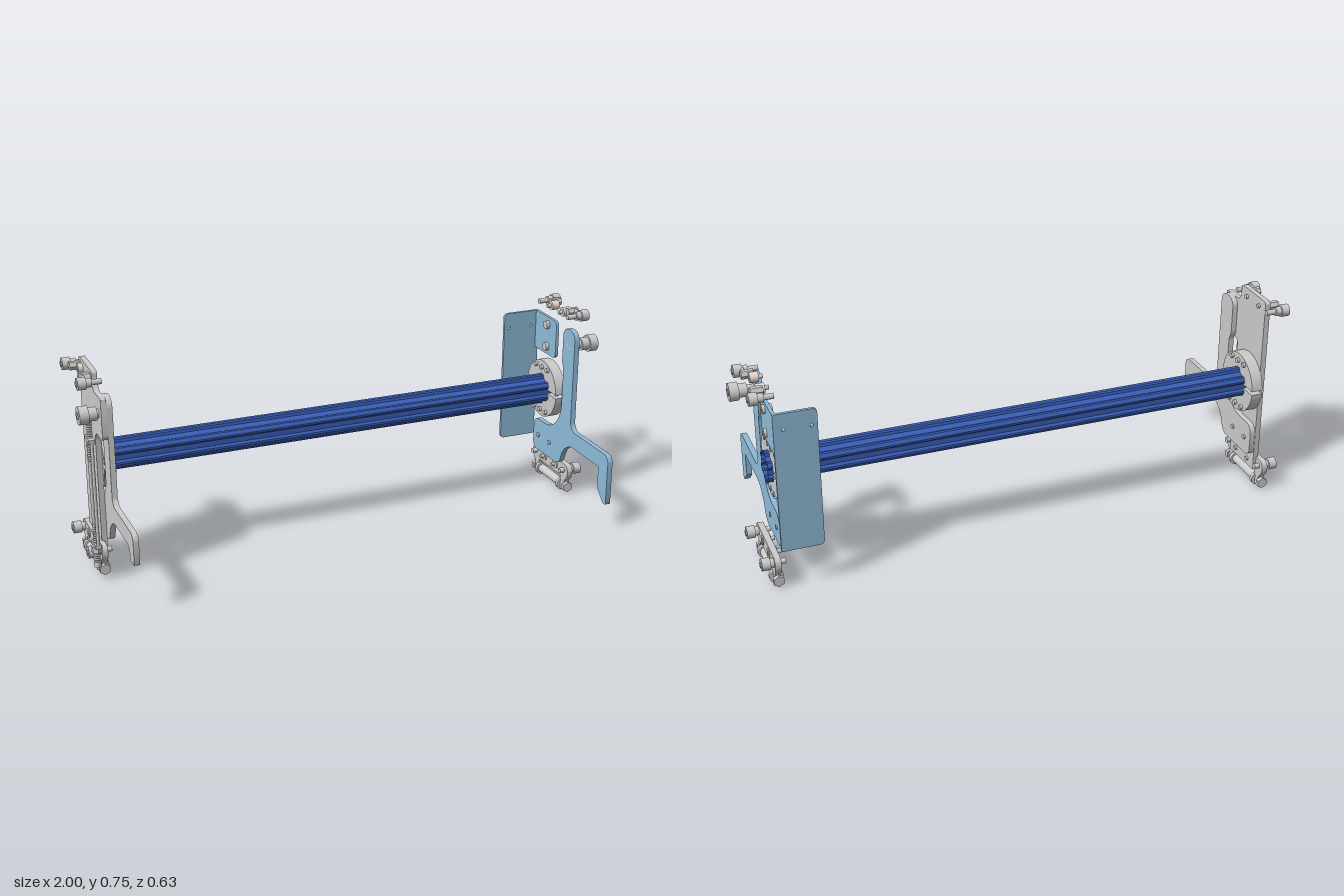
import * as THREE from 'three';
import { toCreasedNormals } from 'three/addons/utils/BufferGeometryUtils.js';

const GREY = 0xcccccc, LIGHT_BLUE = 0x8fbbd9, DEEP_BLUE = 0x3a5fb8, COPPER = 0xeadace;
const CY = 0.41, CZ = -0.162; // beam axis

export function createModel() {
  const model = new THREE.Group();
  const materials = {};
  const mat = (c) => (materials[c] ??= new THREE.MeshStandardMaterial({ color: c }));

  function add(parent, name, geo, color = GREY) {
    const mesh = new THREE.Mesh(geo, mat(color));
    mesh.name = name;
    parent.add(mesh);
    return mesh;
  }

  // Closed outline from [z, y, cornerRadius] points; shape u is -z
  function outline(points) {
    const shape = new THREE.Shape();
    const n = points.length;
    const P = points.map(([z, y]) => new THREE.Vector2(-z, y));
    points.forEach(([, , r = 0], i) => {
      const p = P[i], a = P[(i + n - 1) % n], b = P[(i + 1) % n];
      const from = p.clone().add(a.clone().sub(p).setLength(r));
      const to = p.clone().add(b.clone().sub(p).setLength(r));
      if (i === 0) shape.moveTo(from.x, from.y);
      else shape.lineTo(from.x, from.y);
      if (r > 0) {
        const c1 = from.clone().lerp(p, 0.552), c2 = to.clone().lerp(p, 0.552);
        shape.bezierCurveTo(c1.x, c1.y, c2.x, c2.y, to.x, to.y);
      }
    });
    shape.closePath();
    return shape;
  }

  // Extrude a z-y outline between two x positions
  function slab(parent, name, shape, xa, xb, color) {
    const geo = new THREE.ExtrudeGeometry(shape, { depth: Math.abs(xb - xa), bevelEnabled: false, curveSegments: 10 });
    geo.rotateY(Math.PI / 2).translate(Math.min(xa, xb), 0, 0);
    return add(parent, name, toCreasedNormals(geo, 0.5), color);
  }

  // Cylinder lying along 'x', 'y' or 'z' from a to b; p, q are the other two coordinates
  function rod(parent, name, axis, a, b, p, q, r, color, sides = 24) {
    const geo = new THREE.CylinderGeometry(r, r, Math.abs(b - a), sides);
    const m = (a + b) / 2;
    if (axis === 'x') geo.rotateZ(Math.PI / 2).translate(m, p, q);
    if (axis === 'y') geo.translate(p, m, q);
    if (axis === 'z') geo.rotateX(Math.PI / 2).translate(p, q, m);
    return add(parent, name, sides < 8 ? toCreasedNormals(geo, 0.5) : geo, color);
  }

  // Six-lobed beam section
  function star(scale = 1) {
    const pts = [];
    for (let k = 0; k < 6; k++)
      for (const [d, r] of [[-18, 0.047], [-13, 0.057], [-7, 0.06], [7, 0.06], [13, 0.057], [18, 0.047]]) {
        const t = THREE.MathUtils.degToRad(30 + 60 * k + d);
        pts.push(new THREE.Vector2(-CZ + Math.cos(t) * r * scale, CY + Math.sin(t) * r * scale));
      }
    return pts;
  }
  const beam = new THREE.Shape(star());
  beam.holes.push(new THREE.Path(star(0.92)));
  slab(model, 'beam', beam, -0.925, 0.925, DEEP_BLUE);

  // Half of the clamp ring, dir = 1 for upper and -1 for lower
  function clampHalf(dir) {
    const pts = [], R = 0.113, a = 0.06;
    for (let i = 0; i <= 36; i++) {
      const t = a + ((Math.PI - 2 * a) * i) / 36;
      pts.push(new THREE.Vector2(-CZ + Math.cos(t) * R, CY + dir * Math.sin(t) * R));
    }
    pts.push(new THREE.Vector2(-CZ - 0.048, CY + dir * 0.007));
    for (const p of star().slice(0, 18).reverse())
      pts.push(new THREE.Vector2(p.x, CY + dir * (p.y - CY)));
    pts.push(new THREE.Vector2(-CZ + 0.048, CY + dir * 0.007));
    return new THREE.Shape(pts);
  }

  // Hooked arm; the tip differs between the two ends
  function hookOutline(tip) {
    return outline([
      [0.035, 0.693, 0.035], [-0.052, 0.693, 0.035], [-0.052, 0.55, 0.012], [-0.04, 0.53, 0.01],
      [-0.04, 0.258, 0.125], [-0.248, 0.258, 0.033], [-0.248, 0.13, 0.03], [-0.04, 0.13, 0.03],
      [0.0, 0.237, 0.062], ...tip, [0.035, 0.301, 0.035],
    ]);
  }
  const longTip = [[0.253, 0.237], [0.253, 0.152], [0.299, 0.107, 0.006], [0.318, 0.107, 0.006], [0.318, 0.301, 0.03]];
  const shortTip = [[0.242, 0.237, 0.032], [0.242, 0.187], [0.292, 0.187, 0.006], [0.292, 0.301, 0.03]];

  // Rubber-edged knob on a threaded stud
  function knob(parent, s, y, z) {
    const g = new THREE.Group();
    g.name = 'knob';
    parent.add(g);
    rod(g, 'knobStud', 'x', s * 0.9, s * 0.95, y, z, 0.01);
    rod(g, 'knobCollar', 'x', s * 0.935, s * 0.955, y, z, 0.016);
    rod(g, 'knobHead', 'x', s * 0.955, s * 0.985, y, z, 0.022);
    rod(g, 'knobSocket', 'x', s * 0.985, s * 0.989, y, z, 0.011, GREY, 6);
  }

  const boltZ = [-0.118, -0.162, -0.206];
  for (const s of [-1, 1]) {
    const end = new THREE.Group();
    end.name = s > 0 ? 'leftEnd' : 'rightEnd';
    model.add(end);

    // Hook arm and its bolts
    slab(end, 'hookArm', hookOutline(s > 0 ? longTip : shortTip), s * 0.888, s * 0.908, s > 0 ? LIGHT_BLUE : GREY);
    for (const z of [boltZ[0], boltZ[2]]) rod(end, 'armBolt', 'x', s * 0.882, s * 0.912, 0.193, z, 0.009);

    // Split clamp ring
    for (const dir of [1, -1]) {
      slab(end, 'clampHalf', clampHalf(dir), s * 0.866, s * 0.908);
      for (const z of boltZ) rod(end, 'clampBolt', 'x', s * 0.856, s * 0.912, CY + dir * 0.087, z, 0.009);
    }
    for (const d of [-0.08, 0.08]) rod(end, 'clampScrew', 'y', CY - 0.012, CY + 0.012, s * 0.887, CZ + d, 0.008);

    // Large pivot bolt
    rod(end, 'pivotShaft', 'x', s * 0.888, s * 0.945, 0.63, -0.008, 0.016);
    rod(end, 'pivotCollar', 'x', s * 0.935, s * 0.965, 0.63, -0.008, 0.024);
    rod(end, 'pivotHead', 'x', s * 0.965, s * 0.998, 0.63, -0.008, 0.032, GREY, 32);
    rod(end, 'pivotSocket', 'x', s * 0.998, s * 1.0, 0.63, -0.008, 0.014, GREY, 6);

    // Knobs and washers, top and bottom
    for (const y of [0.727, 0.097]) {
      for (const z of [-0.052, -0.272]) knob(end, s, y, z);
      for (const z of [boltZ[0], boltZ[2]]) {
        rod(end, 'washer', 'x', s * 0.915, s * 0.945, y, z, 0.018, COPPER);
        rod(end, 'washerBolt', 'x', s * 0.9, s * 0.947, y, z, 0.008);
      }
    }
    // Small link screws between the top knobs
    for (const z of [-0.097, -0.228]) rod(end, 'linkNut', 'x', s * 0.925, s * 0.968, 0.732, z, 0.016, GREY, 6);
    rod(end, 'linkScrew', 'z', -0.062, -0.1, s * 0.955, 0.737, 0.006);

    // Lower bracket with two legs
    slab(end, 'lowerBracket', outline([
      [-0.022, 0.122, 0.024], [-0.3, 0.122, 0.024], [-0.3, 0.07, 0.02], [-0.277, 0.055, 0.01], [-0.277, 0.01, 0.005],
      [-0.248, 0.01, 0.005], [-0.248, 0.066, 0.008], [-0.075, 0.066, 0.008], [-0.075, 0.01, 0.005],
      [-0.046, 0.01, 0.005], [-0.046, 0.055, 0.01], [-0.022, 0.07, 0.02],
    ]), s * 0.92, s * 0.942);

    // Roller carried by the legs
    rod(end, 'rollerAxle', 'z', -0.035, -0.29, s * 0.931, 0.028, 0.009);
    rod(end, 'roller', 'z', -0.085, -0.24, s * 0.931, 0.028, 0.017);
    for (const z of [-0.08, -0.246]) rod(end, 'rollerFlange', 'z', z - 0.007, z + 0.007, s * 0.931, 0.028, 0.025);
    for (const z of [-0.04, -0.283]) rod(end, 'axleNut', 'z', z - 0.008, z + 0.008, s * 0.931, 0.028, 0.021, GREY, 6);
  }

  // Back plate on the model's right end
  const plate = outline([
    [-0.073, 0.07], [-0.073, 0.54, 0.035], [0.035, 0.54, 0.02], [0.035, 0.693, 0.006], [-0.073, 0.693, 0.03],
    [-0.073, 0.758, 0.01], [-0.25, 0.758, 0.012], [-0.25, 0.07, 0.01],
  ]);
  plate.holes.push(new THREE.Path(star()));
  slab(model, 'backPlate', plate, -0.928, -0.908);

  // Tensioner: threaded rod inside an open frame
  const tensioner = new THREE.Group();
  tensioner.name = 'tensioner';
  model.add(tensioner);
  const TX = -0.962, TZ = -0.008;
  for (const d of [-0.024, 0.024]) rod(tensioner, 'frameRail', 'y', 0.145, 0.54, TX, TZ + d, 0.006);
  for (const y of [0.145, 0.54]) {
    const bar = new THREE.BoxGeometry(0.022, 0.014, 0.06).translate(TX, y, TZ);
    add(tensioner, 'frameBar', bar);
  }
  rod(tensioner, 'lowerNut', 'y', 0.115, 0.14, TX, TZ, 0.02, GREY, 6);
  for (const [a, b] of [[0.065, 0.22], [0.46, 0.61]]) {
    const profile = [new THREE.Vector2(0, a)];
    const turns = 18;
    for (let i = 0; i <= turns * 2; i++)
      profile.push(new THREE.Vector2(i % 2 ? 0.011 : 0.008, a + ((b - a) * i) / (turns * 2)));
    profile.push(new THREE.Vector2(0, b));
    add(tensioner, 'threadedRod', toCreasedNormals(new THREE.LatheGeometry(profile, 16), 0.5).translate(TX, 0, TZ));
  }
  rod(tensioner, 'rodEnd', 'y', 0.058, 0.08, TX, TZ, 0.013);

  // Bent guard on the model's left end: side flange and rear panel
  const guard = new THREE.Group();
  guard.name = 'guard';
  model.add(guard);
  slab(guard, 'guardFlange', outline([
    [-0.142, 0.68, 0.02], [-0.31, 0.68], [-0.31, 0.53], [-0.142, 0.53, 0.02],
  ]), 0.908, 0.92, LIGHT_BLUE);
  const panel = outline([[-0.77, 0.16, 0.015], [-0.92, 0.16, 0.005], [-0.92, 0.68, 0.005], [-0.77, 0.68, 0.015]]);
  for (const x of [0.79, 0.885]) panel.holes.push(new THREE.Path().absarc(x, 0.62, 0.006, 0, Math.PI * 2));
  const panelGeo = new THREE.ExtrudeGeometry(panel, { depth: 0.011, bevelEnabled: false, curveSegments: 8 });
  add(guard, 'guardPanel', toCreasedNormals(panelGeo.translate(0, 0, -0.316), 0.5), LIGHT_BLUE);
  for (const y of [0.65, 0.562]) {
    rod(guard, 'guardBolt', 'x', 0.895, 0.93, y, -0.207, 0.016);
    rod(guard, 'guardBoltSocket', 'x', 0.93, 0.933, y, -0.207, 0.007, GREY, 6);
  }

  return model;
}
